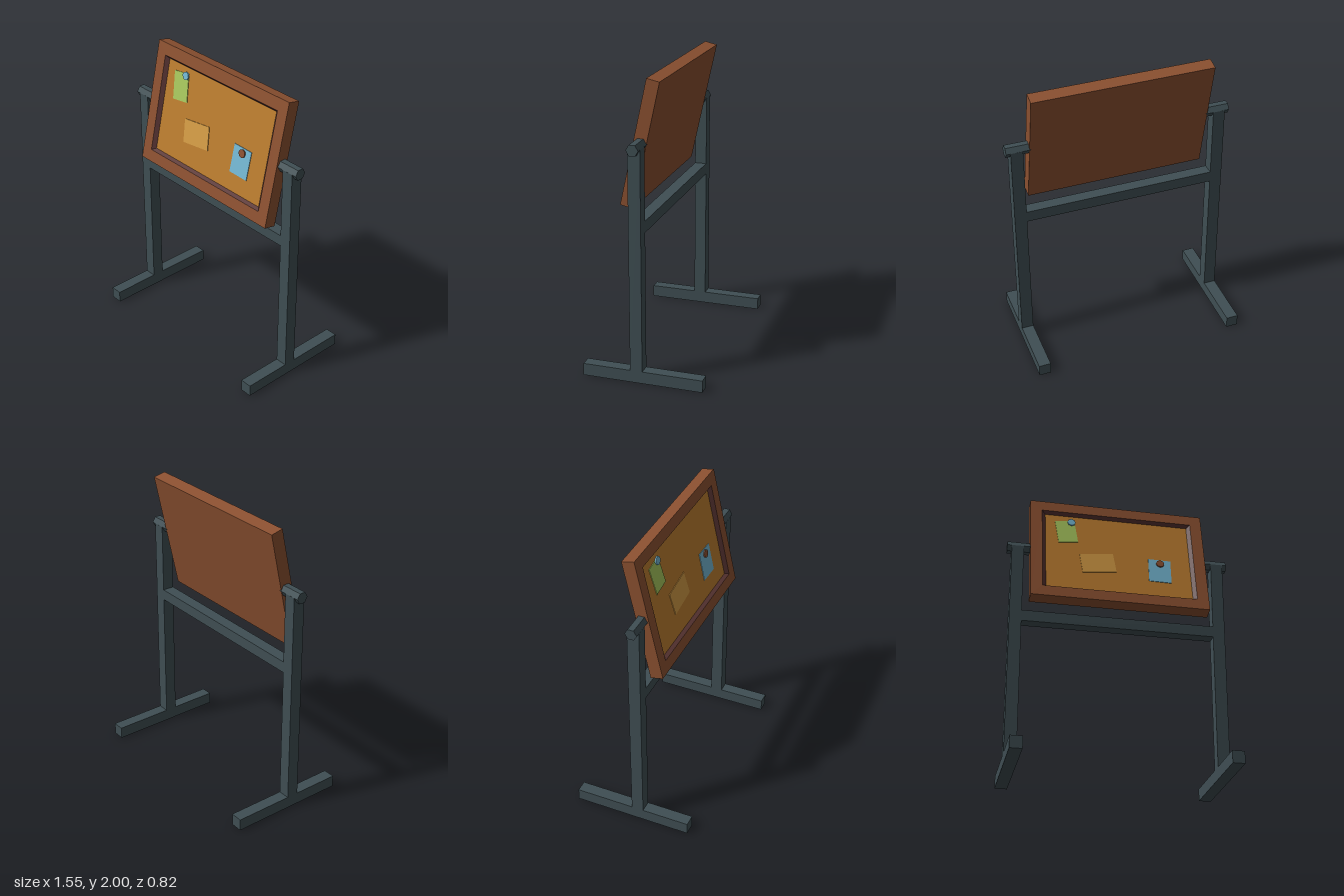
import * as THREE from 'three';

const mat = (name, color) => new THREE.MeshStandardMaterial({ name, color });

export function createModel() {
  const wood = mat('wood', 0x8b5030);
  const liner = mat('dark liner', 0x5a3533);
  const cork = mat('cork', 0xb97b2e);
  const metal = mat('grey metal', 0x3f4e53);
  const green = mat('green paper', 0xa5c45c);
  const blue = mat('blue paper', 0x72b4cf);
  const tan = mat('tan paper', 0xcf9843);
  metal.flatShading = true;

  const model = new THREE.Group();
  model.name = 'noticeBoard';

  const add = (parent, name, geometry, material, x, y, z) => {
    const mesh = new THREE.Mesh(geometry, material);
    mesh.name = name;
    mesh.position.set(x, y, z);
    parent.add(mesh);
    return mesh;
  };
  const box = (parent, name, w, h, d, material, x, y, z) =>
    add(parent, name, new THREE.BoxGeometry(w, h, d), material, x, y, z);

  // Stand: feet, posts and hexagonal pivots on both sides, one crossbar
  const bar = 0.083, postX = 0.702, standZ = 0.041;
  for (const [side, s] of [['left', 1], ['right', -1]]) {
    box(model, side + 'Foot', bar, bar, 0.82, metal, s * postX, bar / 2, 0);
    box(model, side + 'Post', bar, 1.58 - bar, bar, metal, s * postX, (1.58 + bar) / 2, standZ);
    const pivot = new THREE.CylinderGeometry(0.041, 0.041, 0.165, 6);
    pivot.rotateZ(Math.PI / 2);
    add(model, side + 'Pivot', pivot, metal, s * 0.6905, 1.58, standZ);
  }
  box(model, 'crossbar', 2 * postX - bar, 0.077, bar, metal, 0, 1.055, standZ);

  // Tilted board
  const board = new THREE.Group();
  board.name = 'board';
  board.position.set(0, 1.576, 0.048);
  board.rotation.x = -0.2164;
  model.add(board);

  const W = 0.617, H = 0.425, T = 0.087;         // outer half width, half height, thickness
  const holeW = 0.535, holeH = 0.342;            // frame opening
  const corkW = 0.51, corkH = 0.325;             // visible cork
  const front = T / 2, corkZ = front - 0.023;

  // Wooden frame
  const rect = (path, w, h) => path.moveTo(-w, -h).lineTo(w, -h).lineTo(w, h).lineTo(-w, h).closePath();
  const outline = rect(new THREE.Shape(), W, H);
  outline.holes.push(rect(new THREE.Path(), holeW, holeH));
  add(board, 'frame', new THREE.ExtrudeGeometry(outline, { depth: T, bevelEnabled: false }),
    wood, 0, 0, -T / 2);
  const backDepth = T - 0.03;
  box(board, 'backPanel', 2 * holeW, 2 * holeH, backDepth, wood, 0, 0, -T / 2 + backDepth / 2);

  // Mitred liner sloping from the frame down to the cork
  const loop = (w, h, z) => [[-w, -h, z], [w, -h, z], [w, h, z], [-w, h, z]];
  const outer = loop(holeW, holeH, front), inner = loop(corkW, corkH, corkZ);
  const points = [];
  for (let i = 0; i < 4; i++) {
    const j = (i + 1) % 4;
    points.push(...outer[i], ...outer[j], ...inner[j], ...outer[i], ...inner[j], ...inner[i]);
  }
  const linerGeometry = new THREE.BufferGeometry();
  linerGeometry.setAttribute('position', new THREE.Float32BufferAttribute(points, 3));
  linerGeometry.computeVertexNormals();
  add(board, 'liner', linerGeometry, liner, 0, 0, 0);

  box(board, 'corkSheet', 2 * corkW, 2 * corkH, 0.006, cork, 0, 0, corkZ - 0.003);

  // Pinned papers
  const note = (name, w, h, material, x, y, turn) => {
    box(board, name, w, h, 0.004, material, x, y, corkZ + 0.002).rotation.z = turn;
  };
  note('greenNote', 0.138, 0.195, green, -0.361, 0.179, 0.12);
  note('tanNote', 0.238, 0.162, tan, -0.146, -0.083, 0.115);
  note('blueNote', 0.158, 0.197, blue, 0.29, -0.103, -0.02);

  // Pins
  const pin = (name, material, x, y) => {
    const head = new THREE.CylinderGeometry(0.029, 0.029, 0.009, 8);
    head.rotateX(Math.PI / 2);
    add(board, name, head, material, x, y, corkZ + 0.0075);
  };
  pin('bluePin', blue, -0.325, 0.266);
  pin('brownPin', wood, 0.295, -0.041);

  return model;
}
